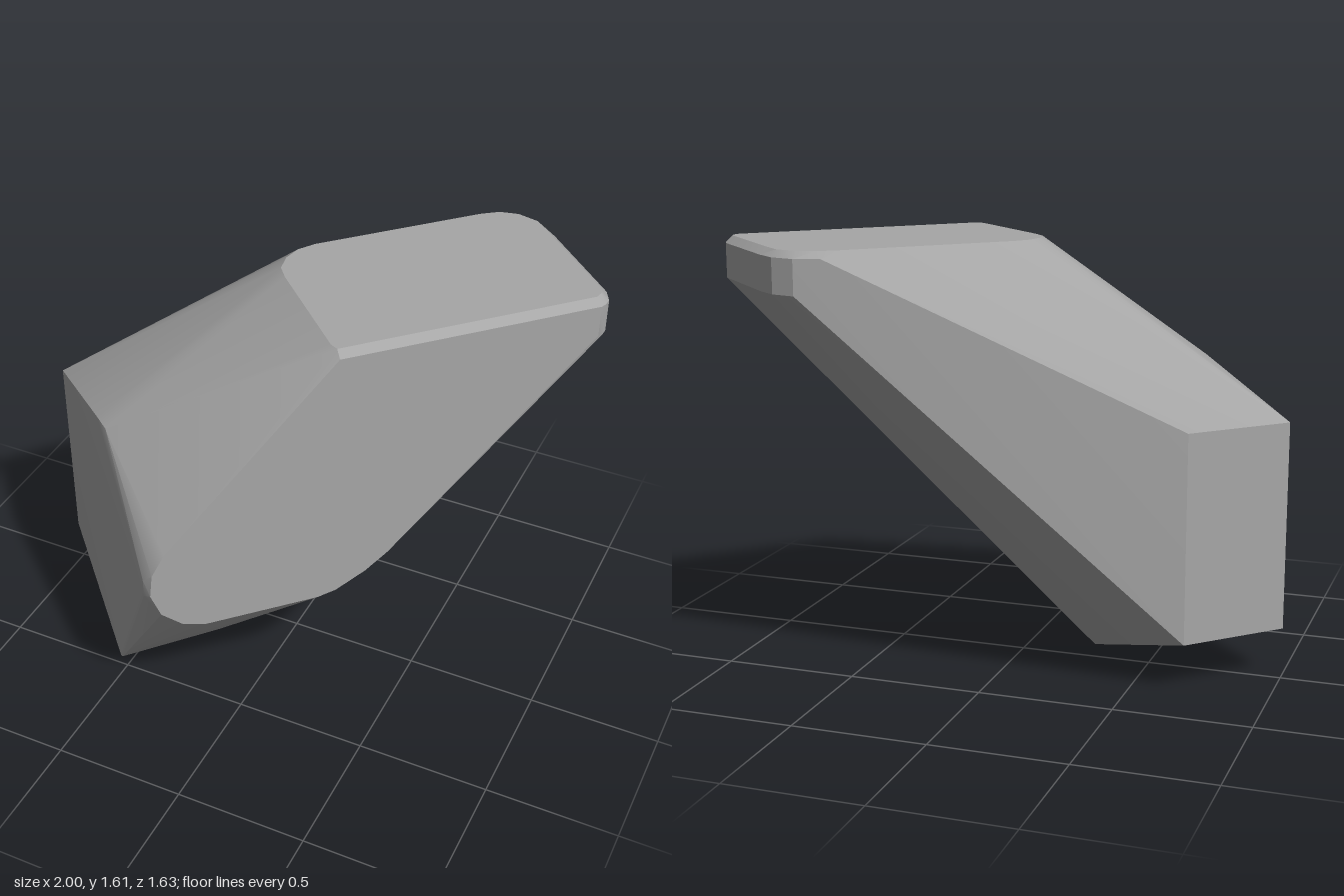
import * as THREE from 'three';
import { ConvexGeometry } from 'three/addons/geometries/ConvexGeometry.js';
import { toCreasedNormals } from 'three/addons/utils/BufferGeometryUtils.js';

const v = (x, y, z) => new THREE.Vector3(x, y, z);

export function createModel() {
  const stone = new THREE.MeshStandardMaterial({ color: 0xa6a6a6 });
  stone.name = 'stone grey';

  // large flat vertical facet on the diagonal plane x + z = 0.63
  const bigFacet = [
    [0.31, 1.58], [0.99, 1.58], [0.99, 1.46], [0.45, 0.69], [0.39, 0.625],
    [0.31, 0.565], [0.26, 0.55], [-0.04, 0.55], [-0.1, 0.575], [-0.155, 0.645],
    [-0.18, 0.74], [-0.173, 0.83], [-0.14, 0.91],
  ].map(([x, y]) => v(x, y, 0.63 - x));

  // level top with rounded corners
  const top = [
    [0.29, 0.3], [0.965, -0.375], [0.972, -0.405], [0.955, -0.44], [0.675, -0.72],
    [0.61, -0.78], [0.53, -0.8], [0.46, -0.785], [0.4, -0.74], [-0.06, -0.28],
    [-0.1, -0.22], [-0.113, -0.15], [-0.1, -0.08], [-0.06, -0.03], [0.26, 0.285],
  ].map(([x, z]) => v(x, 1.605, z));

  // short upright wall below the top, with a narrow chamfer above it
  const wall = [
    [0.998, -0.38], [1, -0.41], [0.975, -0.46], [0.69, -0.745], [0.62, -0.8], [0.53, -0.823],
  ].flatMap(([x, z]) => [v(x, 1.58, z), v(x, 1.455, z)]);
  wall.push(v(0.44, 1.58, -0.795));

  // upright end facet
  const end = [[-1, 0.02], [-0.7, -0.28]].flatMap(([x, z]) => [v(x, 0.96, z), v(x, 0.185, z)]);

  // front side corner, upper and outer, and the narrow foot edge
  const corners = [
    v(-0.6, 1.12, 0.41), v(-0.53, 1.13, 0.47),
    v(-0.215, 0.79, 0.795), v(-0.215, 0.72, 0.795),
    v(-0.59, 0, 0.42), v(-0.535, 0.01, 0.475), v(-0.55, 0, 0.465),
    v(-0.25, 0, 0.13), v(-0.27, 0, 0.165),
  ];

  const geometry = toCreasedNormals(
    new ConvexGeometry([...bigFacet, ...top, ...wall, ...end, ...corners]), 0.35);
  const rock = new THREE.Mesh(geometry, stone);
  rock.name = 'facetedRock';

  const group = new THREE.Group();
  group.name = 'rock';
  group.add(rock);
  return group;
}
